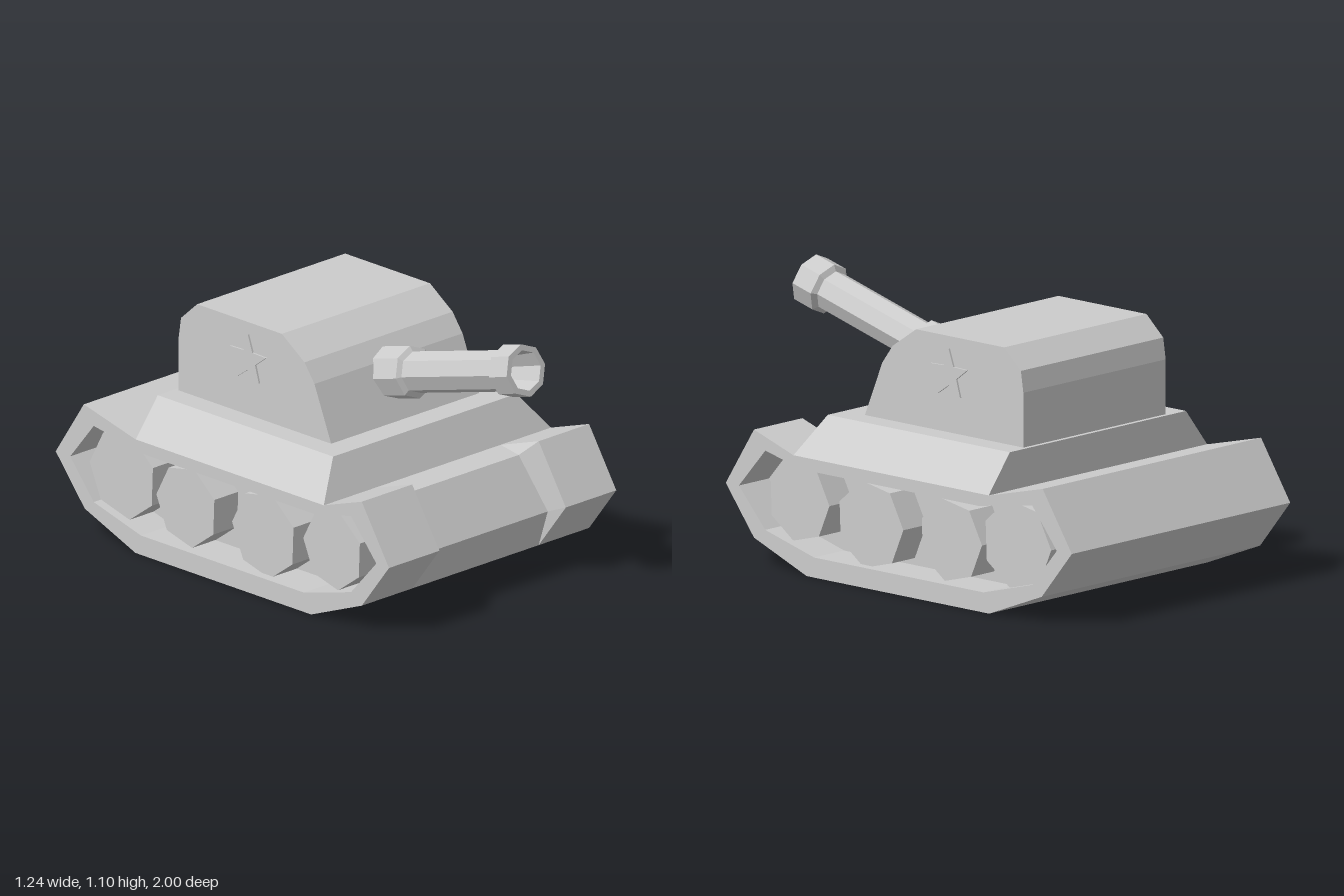
import * as THREE from 'three';

const material = new THREE.MeshStandardMaterial({ color: 0xcccccc, flatShading: true });

function part(name, geometry) {
  const mesh = new THREE.Mesh(geometry, material);
  mesh.name = name;
  return mesh;
}

// Extrude a side profile of [z, y] points from x0 to x1
function sidePrism(profile, x0, x1) {
  const shape = new THREE.Shape(profile.map(([z, y]) => new THREE.Vector2(-z, y)));
  const geometry = new THREE.ExtrudeGeometry(shape, { depth: x1 - x0, bevelEnabled: false });
  return geometry.rotateY(Math.PI / 2).translate(x0, 0, 0);
}

// Skin closed sections, each a loop of [x, y, z] points, running from -x to +x
function loft(sections) {
  const n = sections[0].length;
  const index = [];
  for (let i = 0; i < sections.length - 1; i++) {
    for (let j = 0; j < n; j++) {
      const k = (j + 1) % n;
      const a = i * n + j, b = a + n, c = (i + 1) * n + k, d = i * n + k;
      index.push(a, d, b, b, d, c);
    }
  }
  const geometry = new THREE.BufferGeometry();
  geometry.setAttribute('position', new THREE.Float32BufferAttribute(sections.flat(2), 3));
  geometry.setIndex(index);
  const flat = geometry.toNonIndexed();
  flat.computeVertexNormals();
  return flat;
}

const FLOOR_X = 0.45; // depth plane of the wheel recesses
const HALF = 0.62;

// Track outline and the smaller outline of the wheel recess, as [z, y]
const outer = [[0.48, 0.47], [0.69, 0.54], [0.84, 0.305], [0.69, 0.11], [0.41, 0],
  [-0.56, 0], [-0.84, 0.11], [-1, 0.305], [-0.845, 0.54], [-0.56, 0.47]];
const inner = [[0.43, 0.42], [0.63, 0.465], [0.77, 0.305], [0.63, 0.15], [0.37, 0.08],
  [-0.53, 0.08], [-0.79, 0.15], [-0.92, 0.305], [-0.79, 0.465], [-0.5, 0.42]];

function createHull() {
  const at = (profile, x) => profile.map(([z, y]) => [x, y, z]);
  // Nose between the tracks is set back; its two corners vary in x
  const nose = (x, upperX, lowerX) => {
    const s = at(outer, x);
    s[1] = [upperX, 0.475, 0.62];
    s[2] = [lowerX, 0.265, 0.745];
    return s;
  };
  return part('hull', loft([
    at(inner, -FLOOR_X), at(inner, -HALF), at(outer, -HALF), at(outer, -0.345),
    nose(-0.345, -0.33, -0.31), nose(0.345, 0.305, 0.34),
    at(outer, 0.345), at(outer, HALF), at(inner, HALF), at(inner, FLOOR_X),
  ]));
}

// Upper deck: a box narrowed at the top on the sides and front
function createDeck() {
  const geometry = new THREE.BoxGeometry(1, 1, 1);
  const p = geometry.attributes.position;
  for (let i = 0; i < p.count; i++) {
    const top = p.getY(i) > 0;
    const z = p.getZ(i) > 0 ? (top ? 0.41 : 0.48) : -0.558;
    p.setXYZ(i, Math.sign(p.getX(i)) * (top ? 0.5 : HALF), top ? 0.622 : 0.47, z);
  }
  geometry.computeVertexNormals();
  return part('deck', geometry);
}

// Gun: one eight-sided lathe with base collar, barrel, muzzle ring and tapered bore
function createGun() {
  const profile = [[0, -0.82], [0.105, -0.8], [0.105, -0.635], [0.083, -0.625],
    [0.083, -0.115], [0.105, -0.1], [0.105, 0], [0.081, 0], [0.045, -0.32], [0, -0.32]];
  const gun = part('gun', new THREE.LatheGeometry(
    profile.map(([r, y]) => new THREE.Vector2(r, y)), 8));
  gun.rotation.x = THREE.MathUtils.degToRad(74.7);
  gun.position.set(0, 0.995, 0.968);
  return gun;
}

export function createModel() {
  const model = new THREE.Group();
  model.name = 'tank';
  model.add(createHull(), createDeck(), createGun());

  model.add(part('turret', sidePrism([[0.307, 0.61], [0.21, 0.845], [0.155, 0.92],
    [0.03, 1.005], [-0.438, 1.005], [-0.527, 0.925], [-0.54, 0.84], [-0.54, 0.61]], -0.404, 0.404)));

  // Raised five-pointed star
  const star = Array.from({ length: 10 }, (_, i) => {
    const r = i % 2 ? 0.042 : 0.103;
    const a = (i * Math.PI) / 5;
    return [-0.15 + r * Math.sin(a), 0.853 + r * Math.cos(a)];
  });

  // Seven-sided wheels: [z, y, radius]
  const wheels = [[0.489, 0.278, 0.163], [0.11, 0.242, 0.177],
    [-0.318, 0.246, 0.167], [-0.671, 0.283, 0.182]];

  for (const side of [1, -1]) {
    const label = side > 0 ? 'left' : 'right';
    const span = (a, b) => (side > 0 ? [a, b] : [-b, -a]);
    model.add(part(label + 'RecessPanel', sidePrism(inner, ...span(FLOOR_X - 0.03, FLOOR_X))));
    model.add(part(label + 'Star', sidePrism(star, ...span(0.39, 0.412))));
    wheels.forEach(([z, y, r], w) => {
      const outline = Array.from({ length: 7 }, (_, i) => {
        const a = (i * Math.PI * 2) / 7 + 0.04;
        return [z - r * Math.cos(a), y + r * Math.sin(a)];
      });
      model.add(part(label + 'Wheel' + (w + 1), sidePrism(outline, ...span(FLOOR_X - 0.01, 0.58))));
    });
  }
  return model;
}
